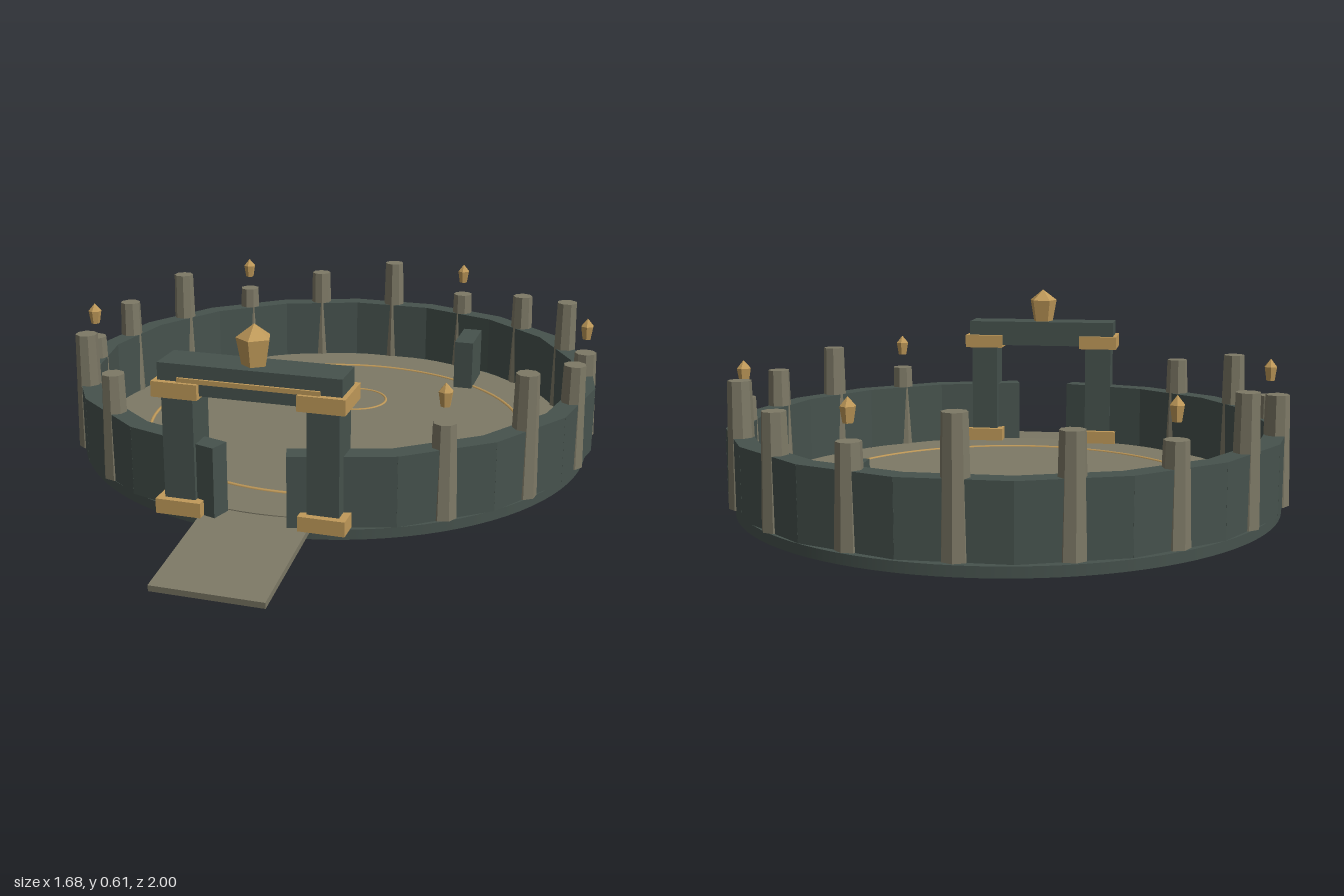
import * as THREE from 'three';

const CZ = -0.158; // arena centre on z
const STEP = THREE.MathUtils.degToRad(20.33);
const mat = (color, flatShading = true) => new THREE.MeshStandardMaterial({ color, flatShading });
const slate = mat(0x46524d), stone = mat(0x7d7966), gold = mat(0xc09a5a);
const slateSmooth = mat(0x46524d, false), stoneSmooth = mat(0x7d7966, false), goldSmooth = mat(0xc09a5a, false);

function add(parent, name, geometry, material, x = 0, y = 0, z = 0) {
  const mesh = new THREE.Mesh(geometry, material);
  mesh.name = name;
  mesh.position.set(x, y, z);
  parent.add(mesh);
  return mesh;
}

// box given by its min and max corners
function block(parent, name, material, [x0, y0, z0], [x1, y1, z1]) {
  return add(parent, name, new THREE.BoxGeometry(x1 - x0, y1 - y0, z1 - z0), material,
    (x0 + x1) / 2, (y0 + y1) / 2, (z0 + z1) / 2);
}

// tapered lantern with a pointed cap, standing on y = 0
function lantern(parent, name, rBottom, rTop, body, height, sides, x, y, z) {
  const profile = [[0, 0], [rBottom, 0], [rTop, body], [0, height]].map(p => new THREE.Vector2(...p));
  return add(parent, name, new THREE.LatheGeometry(profile, sides), gold, x, y, z);
}

function floorRing(parent, name, radius, tube, z) {
  const ring = add(parent, name, new THREE.TorusGeometry(radius, tube, 6, 96), goldSmooth, 0, 0.065, z);
  ring.rotation.x = Math.PI / 2;
}

export function createModel() {
  const model = new THREE.Group();
  model.name = 'arena';

  // base, floor and inlaid rings
  add(model, 'base', new THREE.CylinderGeometry(0.817, 0.817, 0.03, 96), slateSmooth, 0, 0.04, CZ);
  add(model, 'floor', new THREE.CylinderGeometry(0.77, 0.77, 0.012, 96), stoneSmooth, 0, 0.06, CZ);
  floorRing(model, 'outerRing', 0.614, 0.006, CZ);
  floorRing(model, 'innerRing', 0.11, 0.005, -0.39);

  // wall panels, with a pillar on each except the two beside the gate
  const wall = new THREE.Group();
  wall.name = 'wall';
  model.add(wall);
  const panelGeometry = new THREE.BoxGeometry(0.297, 0.205, 0.06);
  for (let k = -8; k <= 8; k++) {
    const a = k * STEP;
    const at = r => [Math.sin(a) * r, CZ - Math.cos(a) * r];
    const [px, pz] = at(0.795);
    add(wall, 'wallPanel', panelGeometry, slate, px, 0.1675, pz).rotation.y = -a;
    if (Math.abs(k) === 8) continue;

    // heights repeat in threes; the shortest pillars carry lanterns
    const kind = (k + 9) % 3;
    const top = [0.43, 0.34, 0.385][kind];
    const [x, z] = at(0.8);
    add(wall, 'pillar', new THREE.CylinderGeometry(0.034, 0.042, top - 0.065, 8), stone,
      x, (top + 0.065) / 2, z).rotation.y = -a;
    if (kind === 1) lantern(wall, 'pillarLantern', 0.014, 0.021, 0.042, 0.067, 6, x, 0.385, z);
  }

  // gate
  const gate = new THREE.Group();
  gate.name = 'gate';
  model.add(gate);
  for (const s of [-1, 1]) {
    const x = s * 0.205;
    block(gate, 'gatePost', slate, [x - 0.045, 0.06, 0.56], [x + 0.045, 0.42, 0.67]);
    block(gate, 'postFoot', gold, [x - 0.066, 0.067, 0.54], [x + 0.066, 0.11, 0.69]);
    block(gate, 'postCapital', gold, [x - 0.066, 0.407, 0.54], [x + 0.066, 0.451, 0.69]);
  }
  block(gate, 'lintel', slate, [-0.258, 0.415, 0.557], [0.258, 0.5, 0.673]);
  block(gate, 'lintelTrim', gold, [-0.2, 0.45, 0.66], [0.2, 0.463, 0.68]);
  lantern(gate, 'gateLantern', 0.036, 0.05, 0.075, 0.113, 5, 0, 0.5, 0.615);

  // entrance ramp
  const ramp = add(model, 'ramp', new THREE.BoxGeometry(0.315, 0.018, 0.4), stone, 0, 0.032, 0.8);
  ramp.rotation.x = 0.115;

  // upright block by the back wall
  block(model, 'standingBlock', slate, [0.307, 0.06, -0.8], [0.372, 0.235, -0.62]);

  return model;
}
